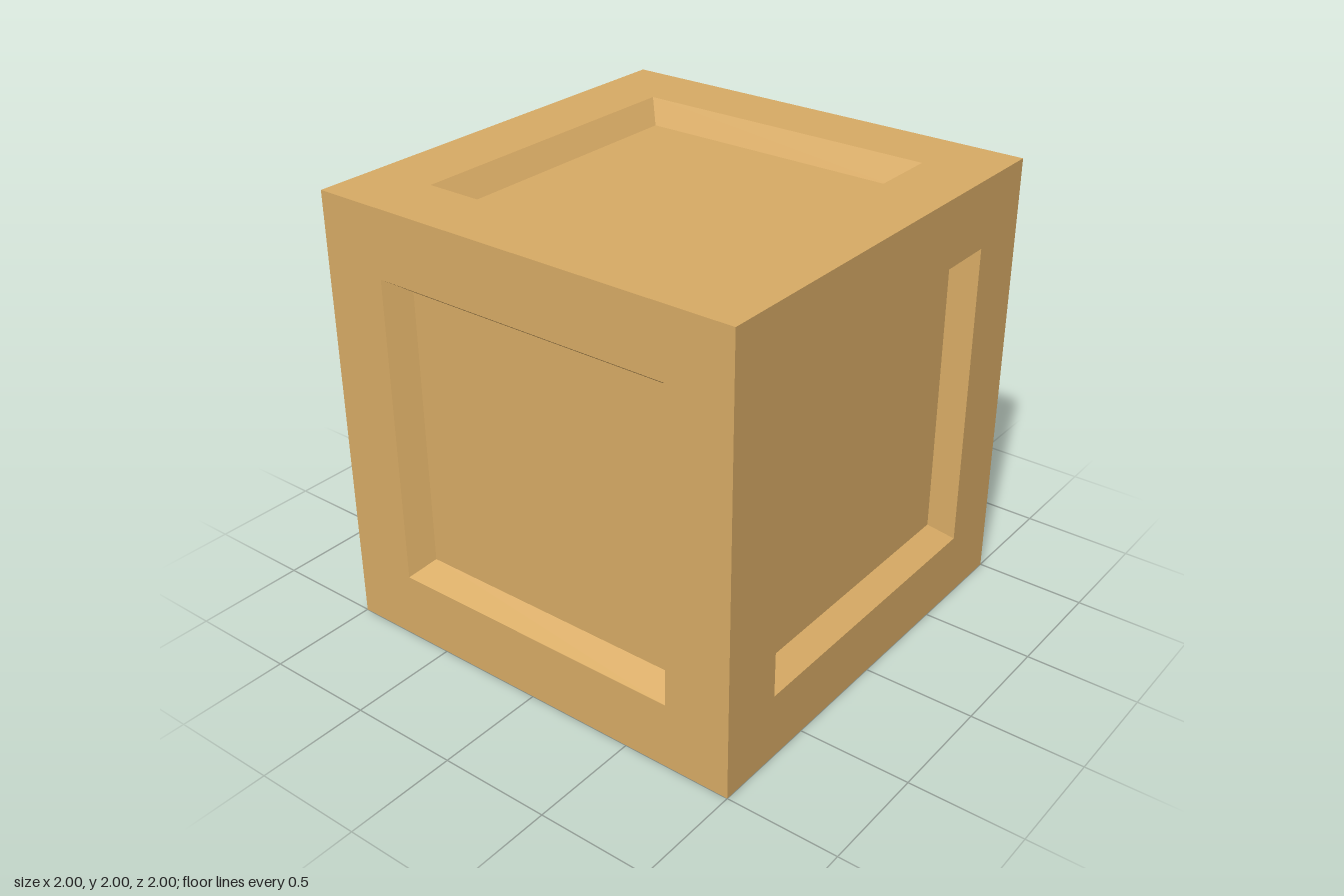
import * as THREE from 'three';

const HALF = 1, OPENING = 0.7, PANEL = 0.63, DEPTH = 0.1;

// Square ring (or square, when the inner half-width is 0) facing +y
function squareRing(outer, outerY, inner, innerY) {
  const points = [[outer, outerY], [inner, innerY]]
    .map(([half, y]) => new THREE.Vector2(half * Math.SQRT2, y));
  return new THREE.LatheGeometry(points, 4, Math.PI / 4);
}

export function createModel() {
  const crate = new THREE.Group();
  crate.name = 'crate';
  const wood = new THREE.MeshStandardMaterial({ color: 0xd8ab65, flatShading: true });

  // Pieces of one side: flat border, sloping recess walls, sunken panel
  const pieces = {
    Border: squareRing(HALF, HALF, OPENING, HALF),
    RecessWalls: squareRing(OPENING, HALF, PANEL, HALF - DEPTH),
    Panel: squareRing(PANEL, HALF - DEPTH, 0, HALF - DEPTH),
  };

  // The same side turned towards all six directions
  const q = Math.PI / 2;
  const sides = {
    top: [0, 0, 0], bottom: [Math.PI, 0, 0],
    front: [q, 0, 0], back: [-q, 0, 0],
    left: [0, 0, -q], right: [0, 0, q],
  };
  for (const [name, rotation] of Object.entries(sides)) {
    const side = new THREE.Group();
    side.name = name + 'Side';
    for (const [piece, geometry] of Object.entries(pieces)) {
      const mesh = new THREE.Mesh(geometry, wood);
      mesh.name = name + piece;
      side.add(mesh);
    }
    side.rotation.set(...rotation);
    side.position.y = HALF;
    crate.add(side);
  }
  return crate;
}
